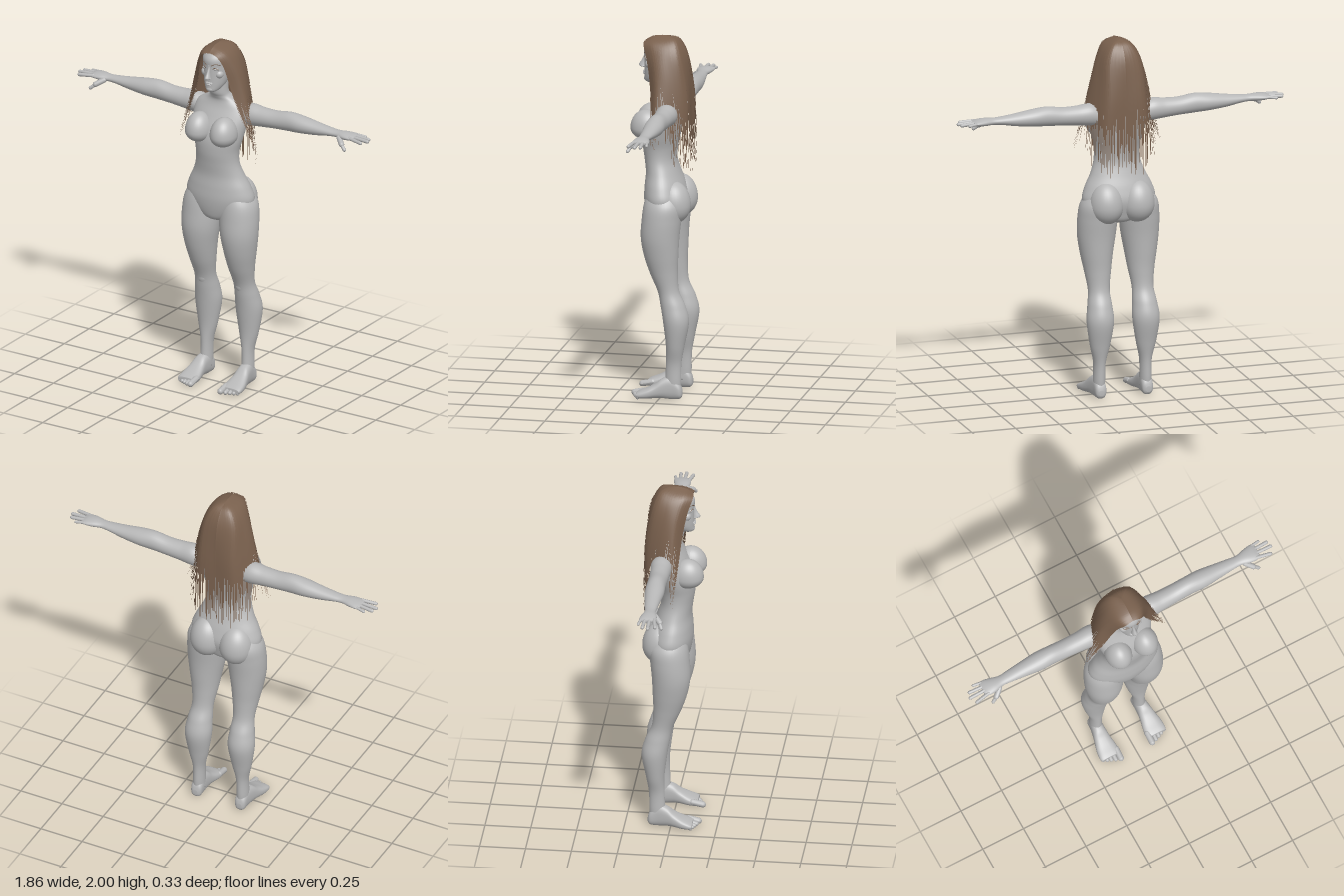
import * as THREE from 'three';

const skin = new THREE.MeshStandardMaterial({ color: 0xb8b8b8 });
skin.name = 'grey skin';
const brown = new THREE.MeshStandardMaterial({ color: 0x7a614e, side: THREE.DoubleSide });
brown.name = 'brown hair';

let seed = 7;
const rand = () => (seed = (seed * 16807) % 2147483647) / 2147483647;

// Smooth interpolation through equal-length number rows, t in 0..1
function spline(rows, t) {
  const n = rows.length - 1, i = Math.min(n - 1, Math.floor(t * n)), f = t * n - i;
  const [a, b, c, d] = [-1, 0, 1, 2].map(k => rows[Math.min(n, Math.max(0, i + k))]);
  return b.map((_, k) => b[k] + 0.5 * f * (c[k] - a[k] +
    f * (2 * a[k] - 5 * b[k] + 4 * c[k] - d[k] + f * (3 * (b[k] - c[k]) + d[k] - a[k]))));
}

// Skin over elliptical sections; rows are [w, uMin, uMax, vMin, vMax] along axis w
function loft(axis, rows, steps = 60, sides = 36, power = 1) {
  const pos = [], idx = [], u = (axis + 1) % 3, v = (axis + 2) % 3;
  const bend = c => Math.sign(c) * Math.abs(c) ** power;
  const put = (w, a, b) => {
    const p = [0, 0, 0];
    p[axis] = w; p[u] = a; p[v] = b;
    pos.push(...p);
  };
  for (let i = 0; i <= steps; i++) {
    const [w, u0, u1, v0, v1] = spline(rows, i / steps);
    for (let j = 0; j < sides; j++) {
      const q = j / sides * Math.PI * 2;
      put(w, (u0 + u1) / 2 + bend(Math.cos(q)) * (u1 - u0) / 2, (v0 + v1) / 2 + bend(Math.sin(q)) * (v1 - v0) / 2);
    }
  }
  for (let i = 0; i < steps; i++) for (let j = 0; j < sides; j++) {
    const a = i * sides + j, b = i * sides + (j + 1) % sides;
    idx.push(a, b, a + sides, b, b + sides, a + sides);
  }
  for (const [row, start, end] of [[rows[0], 0, false], [rows.at(-1), steps * sides, true]]) {
    const c = pos.length / 3;
    put(row[0], (row[1] + row[2]) / 2, (row[3] + row[4]) / 2);
    for (let j = 0; j < sides; j++) {
      const a = start + j, b = start + (j + 1) % sides;
      idx.push(c, end ? a : b, end ? b : a);
    }
  }
  return build(pos, idx);
}

function build(pos, idx) {
  const g = new THREE.BufferGeometry();
  g.setAttribute('position', new THREE.Float32BufferAttribute(pos, 3));
  g.setIndex(idx);
  g.computeVertexNormals();
  return g;
}

function mirrored(geo) {
  const g = geo.clone();
  const p = g.attributes.position;
  for (let i = 0; i < p.count; i++) p.setX(i, -p.getX(i));
  g.setIndex([...g.index.array].reverse());
  g.computeVertexNormals();
  return g;
}

function ball(x, y, z, rx, ry, rz, upper = ry) {
  const g = new THREE.SphereGeometry(1, 32, 24), p = g.attributes.position;
  for (let i = 0; i < p.count; i++) {
    const h = p.getY(i);
    p.setXYZ(i, x + p.getX(i) * rx, y + h * (h > 0 ? upper : ry), z + p.getZ(i) * rz);
  }
  g.computeVertexNormals();
  return g;
}

function digit(a, b, r) {
  const A = new THREE.Vector3(...a), B = new THREE.Vector3(...b), d = B.clone().sub(A);
  const g = new THREE.CapsuleGeometry(r, d.length(), 6, 12);
  g.applyQuaternion(new THREE.Quaternion().setFromUnitVectors(new THREE.Vector3(0, 1, 0), d.normalize()));
  return g.translate(...A.add(B).multiplyScalar(0.5).toArray());
}

export function createModel() {
  const model = new THREE.Group();
  const add = (name, geo, mat = skin) => {
    const m = new THREE.Mesh(geo, mat);
    m.name = name;
    model.add(m);
  };
  const pair = (name, geo, mat) => {
    add('left ' + name, geo, mat);
    add('right ' + name, mirrored(geo), mat);
  };
  // [y, back, front, half width]
  const upright = rows => rows.map(([y, b, f, w]) => [y, b, f, -w, w]);

  // Trunk and neck
  add('torso', loft(1, upright([
    [0.965, -0.04, 0.04, 0.03], [0.985, -0.09, 0.08, 0.10], [1.03, -0.11, 0.097, 0.17], [1.1, -0.125, 0.107, 0.205],
    [1.17, -0.11, 0.105, 0.187], [1.24, -0.085, 0.1, 0.152], [1.31, -0.066, 0.108, 0.129], [1.38, -0.07, 0.118, 0.128],
    [1.45, -0.085, 0.118, 0.145], [1.52, -0.098, 0.1, 0.16], [1.58, -0.1, 0.07, 0.167], [1.63, -0.09, 0.045, 0.15],
    [1.665, -0.075, 0.037, 0.1], [1.69, -0.06, 0.045, 0.062], [1.72, -0.045, 0.058, 0.05], [1.8, -0.05, 0.065, 0.048]]), 90, 48));
  pair('chest', ball(0.079, 1.495, 0.085, 0.073, 0.066, 0.088, 0.1));
  pair('seat', ball(0.088, 1.075, -0.065, 0.095, 0.105, 0.096, 0.13));

  // Legs
  pair('leg', loft(1, [
    [0.05, -0.115, -0.02, 0.1, 0.165], [0.1, -0.118, -0.03, 0.1, 0.165], [0.2, -0.12, -0.035, 0.097, 0.165],
    [0.3, -0.137, -0.035, 0.075, 0.187], [0.43, -0.16, -0.02, 0.055, 0.205], [0.52, -0.14, -0.005, 0.06, 0.195],
    [0.6, -0.105, 0.012, 0.065, 0.184], [0.7, -0.097, 0.055, 0.05, 0.197], [0.8, -0.1, 0.088, 0.035, 0.215],
    [0.9, -0.105, 0.105, 0.018, 0.228], [1.0, -0.115, 0.1, 0.008, 0.228], [1.08, -0.12, 0.09, 0.01, 0.215],
    [1.15, -0.09, 0.07, 0.03, 0.17]], 80));
  pair('knee', ball(0.122, 0.59, -0.018, 0.034, 0.045, 0.026));

  // Feet and toes
  pair('foot', loft(2, [
    [-0.125, 0.12, 0.148, 0.02, 0.05], [-0.112, 0.103, 0.163, 0.004, 0.085], [-0.07, 0.1, 0.168, 0, 0.125],
    [-0.02, 0.098, 0.177, 0.004, 0.115], [0.02, 0.093, 0.187, 0.004, 0.085], [0.06, 0.085, 0.197, 0, 0.062],
    [0.1, 0.081, 0.2, 0, 0.045], [0.12, 0.086, 0.195, 0.006, 0.035]], 40, 32, 0.8));
  for (let i = 0; i < 5; i++) {
    const x = [0.096, 0.123, 0.145, 0.165, 0.184][i], r = i ? 0.0125 - i * 0.0005 : 0.017;
    pair('toe ' + (i + 1), digit([x, r + 0.012, 0.09], [x, r, 0.147 - i * 0.009], r));
  }

  // Arms with palms
  pair('arm', loft(0, [
    [0.09, 1.53, 1.62, -0.09, 0], [0.17, 1.53, 1.652, -0.105, 0.012], [0.25, 1.538, 1.646, -0.1, 0.008],
    [0.33, 1.545, 1.645, -0.098, 0.004], [0.42, 1.55, 1.657, -0.098, 0.003], [0.5, 1.555, 1.65, -0.1, 0.005],
    [0.6, 1.566, 1.635, -0.09, -0.005], [0.68, 1.58, 1.625, -0.08, -0.012], [0.73, 1.584, 1.622, -0.075, -0.014],
    [0.78, 1.583, 1.624, -0.087, -0.002], [0.82, 1.588, 1.62, -0.094, 0], [0.845, 1.596, 1.612, -0.09, -0.006]], 80, 30));
  [[-0.013, 0.002, 0.902], [-0.037, -0.036, 0.922], [-0.06, -0.066, 0.912], [-0.082, -0.092, 0.875]].forEach(([z0, z1, x], i) =>
    pair('finger ' + (i + 1), digit([0.82, 1.606, z0], [x, 1.6, z1], i === 3 ? 0.008 : 0.0098)));
  pair('thumb base', digit([0.755, 1.595, -0.015], [0.79, 1.572, 0.015], 0.015));
  pair('thumb tip', digit([0.785, 1.575, 0.012], [0.815, 1.55, 0.026], 0.0098));

  // Head
  add('head', loft(1, upright([
    [1.733, 0.05, 0.1, 0.018], [1.745, 0.02, 0.113, 0.036], [1.77, -0.02, 0.113, 0.054], [1.8, -0.05, 0.113, 0.065],
    [1.84, -0.075, 0.113, 0.073], [1.88, -0.085, 0.113, 0.077], [1.92, -0.085, 0.115, 0.077], [1.95, -0.075, 0.1, 0.067],
    [1.975, -0.05, 0.075, 0.045], [1.988, -0.01, 0.03, 0.012]]), 60, 40));
  add('nose', loft(1, upright([[1.813, 0.1, 0.122, 0.01], [1.818, 0.1, 0.138, 0.017], [1.826, 0.1, 0.145, 0.015],
    [1.85, 0.1, 0.13, 0.009], [1.875, 0.095, 0.118, 0.008], [1.895, 0.09, 0.115, 0.01]]), 24, 20));
  add('upper lip', ball(0, 1.791, 0.11, 0.023, 0.006, 0.012));
  add('lower lip', ball(0, 1.78, 0.109, 0.019, 0.007, 0.012));
  add('chin', ball(0, 1.752, 0.1, 0.022, 0.015, 0.016));
  pair('eye', ball(0.033, 1.872, 0.094, 0.017, 0.01, 0.013));
  pair('cheek', ball(0.043, 1.84, 0.075, 0.024, 0.024, 0.025));

  // Eyelashes and eyebrows
  const stroke = (pts, r) => new THREE.TubeGeometry(
    new THREE.CatmullRomCurve3(pts.map(p => new THREE.Vector3(...p))), 12, r, 5);
  pair('eyelashes', stroke([[0.016, 1.87, 0.107], [0.033, 1.881, 0.107], [0.051, 1.872, 0.095]], 0.0022), brown);
  pair('eyebrow', stroke([[0.014, 1.893, 0.113], [0.035, 1.903, 0.104], [0.057, 1.895, 0.083]], 0.002), brown);

  // Hair sheet: guide strands from the front round to the back of one side
  const guides = [
    [[0, 1.965, 0.108], [0.05, 1.95, 0.11], [0.084, 1.88, 0.085], [0.115, 1.75, 0.06], [0.17, 1.6, 0.045], [0.27, 1.37, 0.02]],
    [[0, 1.988, 0.07], [0.07, 1.962, 0.06], [0.115, 1.89, 0.035], [0.153, 1.78, 0.015], [0.2, 1.6, 0], [0.25, 1.39, 0]],
    [[0, 1.997, 0.02], [0.07, 1.968, -0.015], [0.117, 1.89, -0.03], [0.148, 1.75, -0.06], [0.165, 1.55, -0.09], [0.17, 1.27, -0.105]],
    [[0, 1.995, -0.02], [0.05, 1.973, -0.07], [0.09, 1.88, -0.105], [0.1, 1.7, -0.14], [0.11, 1.5, -0.15], [0.11, 1.25, -0.155]],
    [[0, 1.99, -0.04], [0, 1.968, -0.085], [0, 1.88, -0.13], [0, 1.7, -0.148], [0, 1.5, -0.155], [0, 1.22, -0.163]]
  ].map(g => g.flat());
  const strand = (s, t) => {
    const row = spline(guides, Math.min(1, Math.max(0, s)));
    return spline([0, 3, 6, 9, 12, 15].map(k => row.slice(k, k + 3)), t);
  };

  // Each lock is a tapering strip of that sheet, in three layers
  const pos = [], idx = [], locks = 46, steps = 18;
  for (let layer = 0; layer < 3; layer++) for (let k = 0; k < locks; k++) {
    const s = (k + rand()) / locks, end = 0.76 + 0.24 * rand(), lift = layer * 0.004 + rand() * 0.004;
    const base = pos.length / 3;
    for (let i = 0; i <= steps; i++) {
      const t = i / steps * end, f = i / steps;
      const half = 0.9 / locks * (f < 0.55 ? 1 : Math.max(0.03, (1 - f) / 0.45));
      for (const e of [-half, half]) {
        const p = strand(s + e, t), m = 1 - lift * 5;
        pos.push(p[0] * m, p[1] - lift * 0.4, p[2] * m);
      }
      if (i < steps) {
        const a = base + i * 2;
        idx.push(a, a + 2, a + 1, a + 1, a + 2, a + 3);
      }
    }
  }
  pair('hair', build(pos, idx), brown);
  return model;
}
